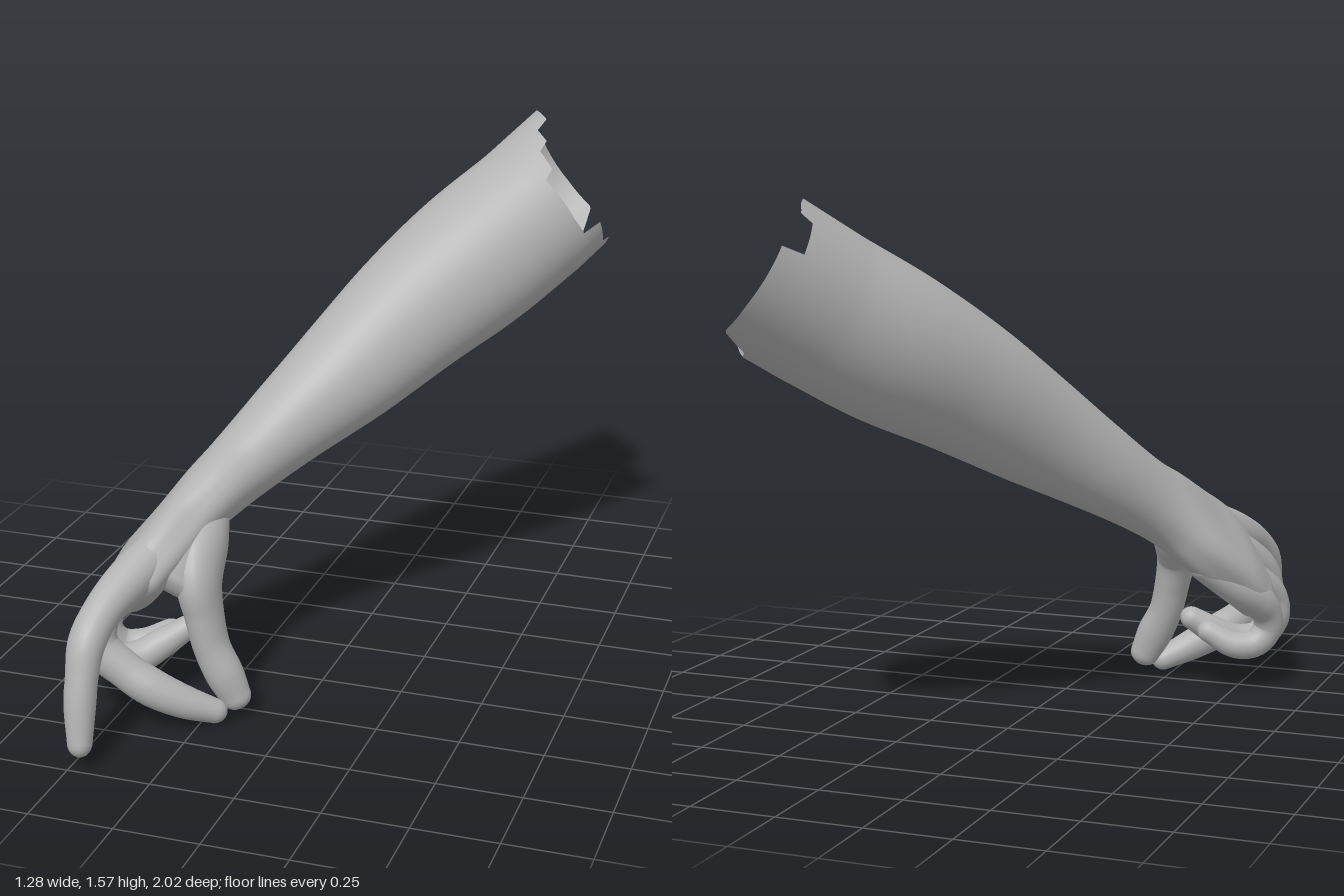
import * as THREE from 'three';

const V = (x, y, z) => new THREE.Vector3(x, y, z);

// Frame of the arm: wrist point, elbow direction, back-of-hand direction, thumb-side direction
const WRIST = V(-0.295, 0.625, 0.23);
const ALONG = V(0.507, 0.507, -0.694).normalize();
const BACK = V(-1, 1, 0).normalize();
const SIDE = ALONG.clone().cross(BACK).normalize();

const skin = new THREE.MeshStandardMaterial({ color: 0xb3b3b3, side: THREE.DoubleSide });
skin.name = 'grey skin';

// Skins a list of rings (arrays of points, counter-clockwise about the travel direction)
function skinRings(name, rings) {
  const n = rings[0].length;
  const position = rings.flat().flatMap((p) => [p.x, p.y, p.z]);
  const index = [];
  for (let i = 0; i < rings.length - 1; i++) {
    for (let j = 0; j < n; j++) {
      const a = i * n + j, b = i * n + ((j + 1) % n);
      index.push(a, b, a + n, b, b + n, a + n);
    }
  }
  const geometry = new THREE.BufferGeometry();
  geometry.setAttribute('position', new THREE.Float32BufferAttribute(position, 3));
  geometry.setIndex(index);
  geometry.computeVertexNormals();
  const mesh = new THREE.Mesh(geometry, skin);
  mesh.name = name;
  return mesh;
}

// Rings along a smooth path; each row is [x, y, z, halfWidthAlongRef, otherHalfWidth, roundness];
// roundness 1 is an ellipse, less is boxier
function ringsAlong(rows, ref, sides, steps, startCap, endCap) {
  const path = new THREE.CatmullRomCurve3(rows.map((r) => V(r[0], r[1], r[2])));
  const size = new THREE.CatmullRomCurve3(rows.map((r) => V(r[3], r[4], r[5] ?? 1)), false, 'catmullrom', 0.5);
  const rings = [];
  const addRing = (t, push, scale) => {
    const c = path.getPoint(t), s = size.getPoint(t), dir = path.getTangent(t);
    const A = ref.clone().addScaledVector(dir, -ref.dot(dir)).normalize();
    const B = dir.clone().cross(A);
    const bulge = (w) => Math.sign(w) * Math.abs(w) ** s.z * scale;
    c.addScaledVector(dir, push);
    rings.push(Array.from({ length: sides }, (_, j) => {
      const q = (j / sides) * Math.PI * 2;
      return c.clone().addScaledVector(A, bulge(Math.cos(q)) * s.x).addScaledVector(B, bulge(Math.sin(q)) * s.y);
    }));
  };
  const CAP = 6;
  for (let k = CAP; k > 0 && startCap; k--) {
    const q = (k / CAP) * Math.PI / 2;
    addRing(0, -startCap * Math.sin(q), Math.max(Math.cos(q), 0.001));
  }
  for (let i = 0; i <= steps; i++) addRing(i / steps, 0, 1);
  for (let k = 1; k <= CAP && endCap; k++) {
    const q = (k / CAP) * Math.PI / 2;
    addRing(1, endCap * Math.sin(q), Math.max(Math.cos(q), 0.001));
  }
  return rings;
}

// Forearm and palm: [distance from wrist, shift to back, shift to thumb side, half thickness, half width, roundness]
const ARM = [
  [1.3, -0.026, 0.02, 0.231, 0.216, 1],
  [1.05, -0.012, 0.01, 0.23, 0.21, 1],
  [0.8, 0, 0.01, 0.208, 0.186, 1],
  [0.5, 0, 0.01, 0.173, 0.16, 1],
  [0.25, 0.005, 0.003, 0.136, 0.142, 1],
  [0.05, 0.005, 0.006, 0.11, 0.138, 0.97],
  [-0.08, 0.004, 0.012, 0.098, 0.16, 0.85],
  [-0.22, -0.005, 0.004, 0.086, 0.186, 0.64],
  [-0.35, -0.02, 0.015, 0.084, 0.206, 0.6],
  [-0.45, -0.04, 0.02, 0.074, 0.208, 0.6],
];

// Height of the torn rim for angles from the back of the arm, in degrees towards the thumb side
const RIM = [
  [0, 1.54], [37, 1.49], [38, 1.44], [56, 1.42], [57, 1.38], [76, 1.36], [77, 1.32], [116, 1.32],
  [132, 1.33], [133, 1.4], [160, 1.4], [161, 1.43], [200, 1.42], [224, 1.46], [238, 1.56], [268, 1.57],
  [317, 1.57], [318, 1.5], [345, 1.5], [346, 1.54], [360, 1.54],
];

function rimHeight(deg) {
  const i = RIM.findIndex((r) => r[0] >= deg);
  if (i <= 0) return RIM[0][1];
  const [a, b] = [RIM[i - 1], RIM[i]];
  return a[1] + (b[1] - a[1]) * (deg - a[0]) / (b[0] - a[0]);
}

function forearm() {
  const rows = ARM.map(([t, u, v, a, b, round]) => {
    const p = WRIST.clone().addScaledVector(ALONG, t).addScaledVector(BACK, u).addScaledVector(SIDE, v);
    return [p.x, p.y, p.z, a, b, round];
  });
  const sides = 120;
  const rings = ringsAlong(rows, BACK, sides, 72, 0, 0.055);
  // Torn open end: extend the first ring to the rim height
  const torn = rings[0].map((p, j) => {
    const deg = (360 - (j * 360) / sides) % 360;
    return p.clone().addScaledVector(ALONG, rimHeight(deg) - 1.3);
  });
  return skinRings('forearmAndPalm', [torn, ...rings]);
}

// Fingers from inside the palm over the knuckles to the tip: [x, y, z, half width, half depth]
const FINGERS = {
  indexFinger: [
    [-0.31, 0.61, 0.33, 0.05, 0.05], [-0.368, 0.537, 0.51, 0.066, 0.064], [-0.43, 0.468, 0.68, 0.07, 0.066],
    [-0.464, 0.415, 0.8, 0.059, 0.056], [-0.48, 0.348, 0.88, 0.058, 0.054], [-0.482, 0.26, 0.918, 0.053, 0.047],
    [-0.482, 0.185, 0.938, 0.053, 0.046], [-0.474, 0.08, 0.966, 0.042, 0.036],
  ],
  middleFinger: [
    [-0.36, 0.53, 0.36, 0.05, 0.05], [-0.435, 0.455, 0.51, 0.06, 0.062], [-0.482, 0.405, 0.61, 0.064, 0.064],
    [-0.524, 0.34, 0.685, 0.058, 0.057], [-0.525, 0.258, 0.71, 0.057, 0.059], [-0.45, 0.185, 0.7, 0.053, 0.055],
    [-0.375, 0.132, 0.685, 0.055, 0.056], [-0.29, 0.082, 0.65, 0.049, 0.049], [-0.213, 0.043, 0.605, 0.039, 0.037],
  ],
  ringFinger: [
    [-0.41, 0.47, 0.33, 0.05, 0.05], [-0.495, 0.385, 0.45, 0.058, 0.06], [-0.54, 0.335, 0.53, 0.061, 0.062],
    [-0.576, 0.283, 0.595, 0.054, 0.054], [-0.58, 0.212, 0.612, 0.054, 0.054], [-0.543, 0.152, 0.59, 0.049, 0.05],
    [-0.48, 0.145, 0.54, 0.048, 0.049], [-0.42, 0.178, 0.49, 0.045, 0.045], [-0.355, 0.222, 0.455, 0.038, 0.036],
  ],
  littleFinger: [
    [-0.44, 0.43, 0.28, 0.045, 0.045], [-0.53, 0.345, 0.37, 0.052, 0.054], [-0.575, 0.297, 0.44, 0.055, 0.056],
    [-0.595, 0.253, 0.48, 0.048, 0.048], [-0.594, 0.2, 0.497, 0.047, 0.047], [-0.56, 0.152, 0.475, 0.043, 0.044],
    [-0.5, 0.148, 0.445, 0.042, 0.042], [-0.42, 0.19, 0.425, 0.036, 0.035],
  ],
};

// Thumb, wide at the ball and narrow at the tip; widths run along z first
const THUMB = [
  [-0.32, 0.59, 0.33, 0.05, 0.06], [-0.305, 0.51, 0.445, 0.09, 0.078], [-0.283, 0.42, 0.53, 0.094, 0.066],
  [-0.262, 0.32, 0.545, 0.076, 0.056], [-0.238, 0.22, 0.55, 0.063, 0.054], [-0.2, 0.14, 0.552, 0.054, 0.057],
  [-0.167, 0.07, 0.548, 0.04, 0.047],
];

// Web of skin between thumb and index; widths run from thumb to index first
const WEB = [
  [-0.305, 0.6, 0.34, 0.06, 0.06], [-0.327, 0.54, 0.46, 0.085, 0.072],
  [-0.345, 0.487, 0.55, 0.105, 0.066], [-0.356, 0.45, 0.61, 0.118, 0.048],
];

export function createModel() {
  const model = new THREE.Group();
  model.name = 'armWithPinchingHand';
  model.add(forearm());
  for (const [name, rows] of Object.entries(FINGERS)) {
    const tip = rows[rows.length - 1][3];
    model.add(skinRings(name, ringsAlong(rows, SIDE, 24, 48, 0.04, tip)));
  }
  model.add(skinRings('thumb', ringsAlong(THUMB, V(0, 0.45, 1).normalize(), 28, 44, 0.05, 0.04)));
  model.add(skinRings('thumbWeb', ringsAlong(WEB, V(-0.145, 0.07, 0.125).normalize(), 32, 20, 0.03, 0.025)));
  return model;
}
